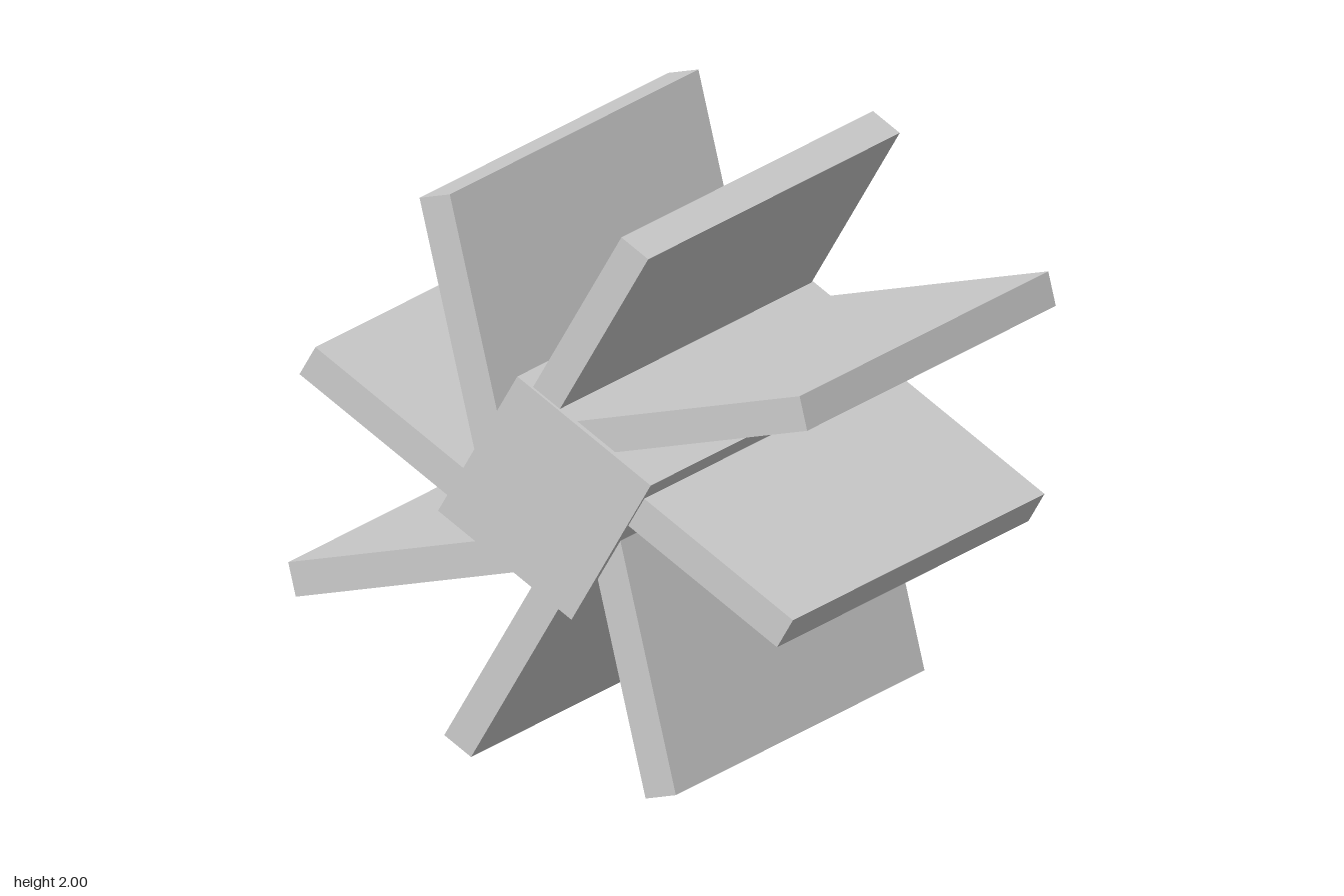
import * as THREE from 'three';

const material = new THREE.MeshStandardMaterial({ color: 0xcccccc, flatShading: true });

function box(name, w, h, d) {
  const mesh = new THREE.Mesh(new THREE.BoxGeometry(w, h, d), material);
  mesh.name = name;
  return mesh;
}

// Four paddles, a quarter turn apart, each set off-centre from the axis
function paddleSet(name, { angle, start, end, offset, depth }) {
  const set = new THREE.Group();
  set.name = name;
  for (let i = 0; i < 4; i++) {
    const arm = new THREE.Group();
    arm.name = name + 'Arm' + (i + 1);
    arm.rotation.z = THREE.MathUtils.degToRad(angle) + i * Math.PI / 2;
    const paddle = box('paddle', end - start, 0.12, depth);
    paddle.position.set((start + end) / 2, offset, 0);
    arm.add(paddle);
    set.add(arm);
  }
  return set;
}

export function createModel() {
  const model = new THREE.Group();
  model.name = 'paddleWheel';

  const wheel = new THREE.Group();
  wheel.name = 'wheel';
  wheel.position.y = 1.003;
  model.add(wheel);

  // Square hub
  const hub = box('hub', 0.597, 0.597, 1.725);
  hub.rotation.z = THREE.MathUtils.degToRad(-30.7);
  wheel.add(hub);

  // Paddles standing on the hub faces, and paddles near the hub corners
  wheel.add(paddleSet('facePaddles', { angle: 59.3, start: 0.1, end: 0.964, offset: 0.176, depth: 1.7 }));
  wheel.add(paddleSet('cornerPaddles', { angle: 14, start: 0.05, end: 1.06, offset: 0.184, depth: 1.68 }));

  return model;
}
